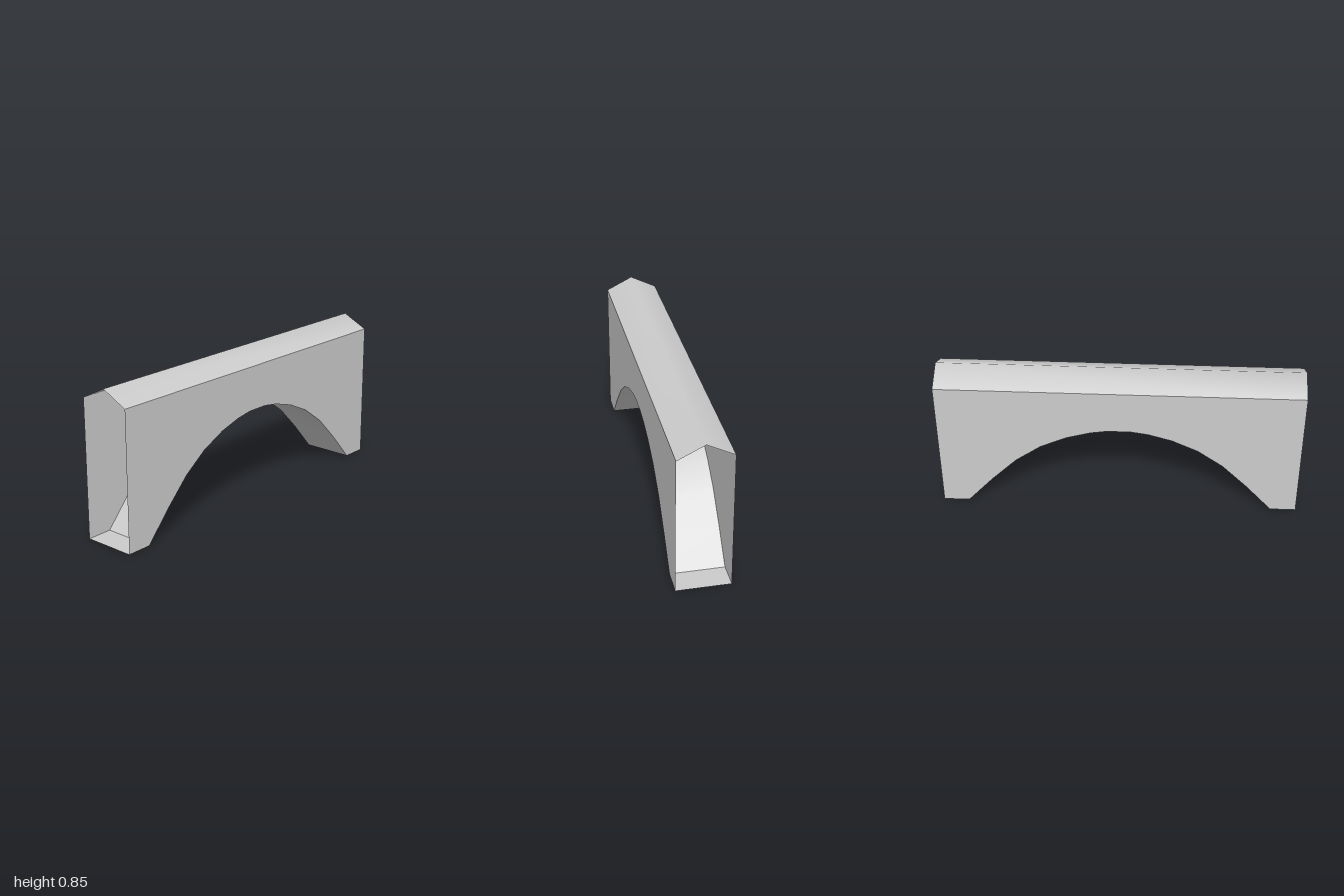
import * as THREE from 'three';

const HALF_LENGTH = 1, HALF_DEPTH = 0.147, EAVE = 0.772, RIDGE = 0.845;

// Right half of the arch curve, from the crown down to the foot
const HALF_ARCH = [[0.065, 0.523], [0.16, 0.508], [0.29, 0.47], [0.433, 0.403],
  [0.573, 0.302], [0.713, 0.161], [0.857, 0]];
const ARCH = [...HALF_ARCH.map(([x, y]) => [-x, y]).reverse(), ...HALF_ARCH];

export function createModel() {
  const group = new THREE.Group();
  const material = new THREE.MeshStandardMaterial({ color: 0xcccccc, side: THREE.DoubleSide });

  const add = (name, geometry) => {
    const mesh = new THREE.Mesh(geometry, material);
    mesh.name = name;
    group.add(mesh);
    return mesh;
  };

  // Smooth strip joining two matching edges
  const strip = (edgeA, edgeB) => {
    const positions = [], index = [];
    edgeA.forEach((a, i) => {
      positions.push(...a, ...edgeB[i]);
      const k = i * 2;
      if (i) index.push(k - 2, k - 1, k, k - 1, k + 1, k);
    });
    const geometry = new THREE.BufferGeometry();
    geometry.setAttribute('position', new THREE.Float32BufferAttribute(positions, 3));
    geometry.setIndex(index);
    geometry.computeVertexNormals();
    return geometry;
  };

  // Sweep an x-y profile through the depth of the bridge
  const sweepDepth = (profile) => strip(
    profile.map(([x, y]) => [x, y, HALF_DEPTH]),
    profile.map(([x, y]) => [x, y, -HALF_DEPTH]));

  // Front and back walls with the arch cut away
  const outline = [[-HALF_LENGTH, 0], ...ARCH, [HALF_LENGTH, 0],
    [HALF_LENGTH, EAVE], [-HALF_LENGTH, EAVE]];
  const wall = new THREE.ShapeGeometry(new THREE.Shape(outline.map(([x, y]) => new THREE.Vector2(x, y))));
  add('frontWall', wall).position.z = HALF_DEPTH;
  const back = add('backWall', wall);
  back.position.z = -HALF_DEPTH;
  back.rotation.y = Math.PI;

  // Underside of the arch
  add('archSoffit', sweepDepth(ARCH));

  // Flat feet
  const footEdge = HALF_ARCH[HALF_ARCH.length - 1][0];
  add('rightFoot', sweepDepth([[-HALF_LENGTH, 0], [-footEdge, 0]]));
  add('leftFoot', sweepDepth([[footEdge, 0], [HALF_LENGTH, 0]]));

  // Ridged cap; the ends stay open
  const cap = [[HALF_DEPTH, EAVE], [0, RIDGE], [-HALF_DEPTH, EAVE]];
  add('ridgeCap', strip(
    cap.map(([z, y]) => [-HALF_LENGTH, y, z]),
    cap.map(([z, y]) => [HALF_LENGTH, y, z])));

  return group;
}
